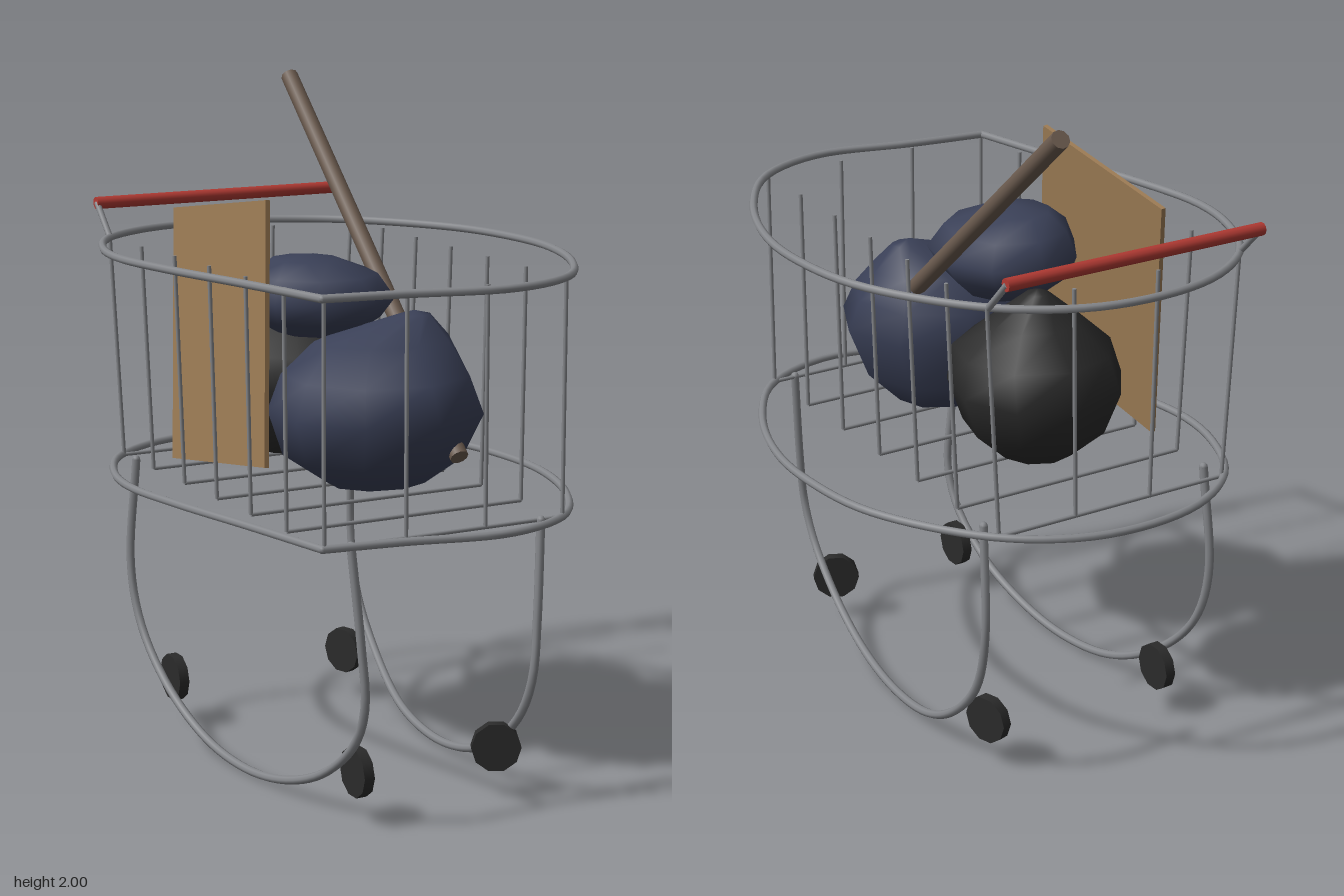
import * as THREE from 'three';

const mat = (name, color) => {
  const m = new THREE.MeshStandardMaterial({ color });
  m.name = name;
  return m;
};
const V = (p) => new THREE.Vector3(...p);

export function createModel() {
  const metal = mat('steel', 0x85878b);
  const red = mat('handleRed', 0xb03a33);
  const rubber = mat('wheelBlack', 0x2b2b2b);
  const black = mat('bagBlack', 0x2a2a2a);
  const navy = mat('bagNavy', 0x3a4057);
  const card = mat('cardboard', 0x9c7b54);
  const wood = mat('wood', 0x6a5a4e);

  const model = new THREE.Group();
  model.name = 'loadedCart';

  function add(name, geometry, material, parent = model) {
    const mesh = new THREE.Mesh(geometry, material);
    mesh.name = name;
    parent.add(mesh);
    return mesh;
  }

  // Straight round bar between two points
  function rod(name, a, b, r, material, parent, sides = 8) {
    const from = V(a), to = V(b), dir = to.clone().sub(from);
    const mesh = add(name, new THREE.CylinderGeometry(r, r, dir.length(), sides), material, parent);
    mesh.position.copy(from).add(to).multiplyScalar(0.5);
    mesh.quaternion.setFromUnitVectors(new THREE.Vector3(0, 1, 0), dir.normalize());
    return mesh;
  }

  // Bent pipe with closed ends
  function pipe(name, points, r, segments) {
    const curve = new THREE.CatmullRomCurve3(points.map(V));
    add(name, new THREE.TubeGeometry(curve, segments, r, 8), metal);
    for (const p of [points[0], points[points.length - 1]]) {
      add(name + 'End', new THREE.SphereGeometry(r, 8, 6), metal).position.set(...p);
    }
  }

  // Basket rims: a rounded loop with one sharp front corner
  const rim = [
    [-0.44, 0.70], [-0.2, 0.735], [0.1, 0.79], [0.33, 0.70], [0.5, 0.47], [0.6, 0.2],
    [0.62, -0.02], [0.57, -0.3], [0.36, -0.62], [0.15, -0.755], [-0.06, -0.79],
    [-0.28, -0.75], [-0.47, -0.62], [-0.58, -0.42], [-0.62, -0.22], [-0.585, 0.05],
    [-0.51, 0.37], [-0.44, 0.70],
  ];
  const lowY = 0.84, topY = 1.525;
  pipe('topRim', rim.map(([x, z]) => [x, topY, z]), 0.012, 96);
  pipe('bottomRim', rim.map(([x, z]) => {
    const shrink = 1 - 0.035 * THREE.MathUtils.clamp((0.7 - z) / 0.7, 0, 1);
    return [x * shrink, lowY, z < 0 ? z * 0.985 : z];
  }), 0.012, 96);

  // Basket wires: side ribs joined by floor bars, leaning out toward the back
  const basket = new THREE.Group();
  basket.name = 'basketWires';
  model.add(basket);
  for (let i = 0; i <= 6; i++) {
    const z = 0.70 - 0.22 * i, lean = i / 6;
    const lowL = -0.435, lowR = 0.33;
    const topL = lowL - 0.035 * lean, topR = lowR + 0.04 * lean;
    rod('sideRib', [lowL, lowY, z], [topL, topY, z], 0.006, metal, basket, 6);
    rod('sideRib', [lowR, lowY, z], [topR, topY, z], 0.006, metal, basket, 6);
    rod('floorBar', [lowL, lowY, z], [lowR, lowY, z], 0.006, metal, basket, 6);
    if (i === 0 || i === 6) {
      for (const t of [1 / 3, 2 / 3]) {
        rod('endRib', [THREE.MathUtils.lerp(lowL, lowR, t), lowY, z],
          [THREE.MathUtils.lerp(topL, topR, t), topY, z], 0.006, metal, basket, 6);
      }
    }
  }

  // Push handle and its brackets
  rod('handle', [-0.475, 1.62, -0.712], [0.37, 1.62, -0.712], 0.019, red, model, 10);
  for (const x of [-0.47, 0.365]) {
    rod('handleBracket', [x, topY, -0.62], [x, 1.62, -0.712], 0.01, metal, model);
  }

  // Curved leg runners, mirrored about the cart's own centre line
  const leg = [
    [-0.355, 0.84, 0.705], [-0.334, 0.55, 0.727], [-0.322, 0.39, 0.727], [-0.32, 0.265, 0.67],
    [-0.33, 0.13, 0.51], [-0.35, 0.045, 0.30], [-0.37, 0.016, 0.075], [-0.392, 0.05, -0.155],
    [-0.42, 0.165, -0.365], [-0.436, 0.325, -0.515], [-0.442, 0.505, -0.568], [-0.43, 0.84, -0.54],
  ];
  pipe('rightLeg', leg, 0.013, 64);
  pipe('leftLeg', leg.map(([x, y, z]) => [-0.1 - x, y, z]), 0.013, 64);

  // Wheels: x, z, turn
  for (const [x, z, turn] of [[-0.355, -0.44, 0], [0.25, -0.44, 0.3], [-0.282, 0.61, 0], [0.175, 0.61, 1.1]]) {
    const geo = new THREE.CylinderGeometry(0.073, 0.073, 0.032, 10).rotateZ(Math.PI / 2).rotateY(turn);
    add('wheel', geo, rubber).position.set(x, 0.155, z);
  }

  // Stuffed bag lofted through rings: y, centre x, centre z, radius x, radius z
  function bag(name, rings, material, turn) {
    const n = 9, pos = [], index = [];
    rings.forEach(([y, cx, cz, rx, rz]) => {
      for (let j = 0; j < n; j++) {
        const a = turn + (j / n) * Math.PI * 2;
        pos.push(cx + rx * Math.sin(a), y, cz + rz * Math.cos(a));
      }
    });
    const low = pos.length / 3, high = low + 1, last = (rings.length - 1) * n;
    const [b, t] = [rings[0], rings[rings.length - 1]];
    pos.push(b[1], b[0] - 0.012, b[2], t[1], t[0] + 0.012, t[2]);
    for (let j = 0; j < n; j++) {
      const k = (j + 1) % n;
      for (let i = 0; i < last; i += n) {
        index.push(i + j, i + k, i + n + k, i + j, i + n + k, i + n + j);
      }
      index.push(low, k, j, high, last + j, last + k);
    }
    const geo = new THREE.BufferGeometry();
    geo.setAttribute('position', new THREE.Float32BufferAttribute(pos, 3));
    geo.setIndex(index);
    geo.computeVertexNormals();
    add(name, geo, material);
  }
  bag('largeBag', [
    [0.89, -0.02, 0.25, 0.15, 0.13], [0.98, -0.045, 0.275, 0.265, 0.255],
    [1.12, -0.053, 0.31, 0.317, 0.308], [1.22, -0.04, 0.285, 0.28, 0.265],
    [1.31, -0.01, 0.27, 0.21, 0.165], [1.38, 0.08, 0.29, 0.05, 0.04],
  ], navy, 0.1);
  bag('smallBag', [
    [1.30, -0.08, 0.0, 0.12, 0.13], [1.35, -0.1, 0.02, 0.19, 0.2],
    [1.41, -0.1, 0.038, 0.222, 0.238], [1.48, -0.11, 0.035, 0.185, 0.19],
    [1.523, -0.14, 0.03, 0.1, 0.1],
  ], navy, 0.3);
  bag('blackBag', [
    [0.89, -0.02, -0.27, 0.11, 0.11], [0.98, -0.02, -0.265, 0.21, 0.22],
    [1.11, -0.018, -0.272, 0.258, 0.265], [1.21, -0.02, -0.25, 0.235, 0.235],
    [1.295, -0.02, -0.255, 0.14, 0.13], [1.38, -0.02, -0.27, 0.035, 0.035],
  ], black, 0.25);

  // Leaning cardboard sheet
  const sheet = add('cardboardSheet', new THREE.BoxGeometry(0.014, 0.757, 0.606), card);
  sheet.position.set(-0.358, 1.3, -0.09);
  sheet.rotation.set(-0.15, 0, -0.089, 'ZYX');

  // Wooden pole stuck through the large bag
  rod('pole', [0.19, 1.985, -0.695], [0.1, 1.0, 0.515], 0.027, wood, model, 10);

  return model;
}
